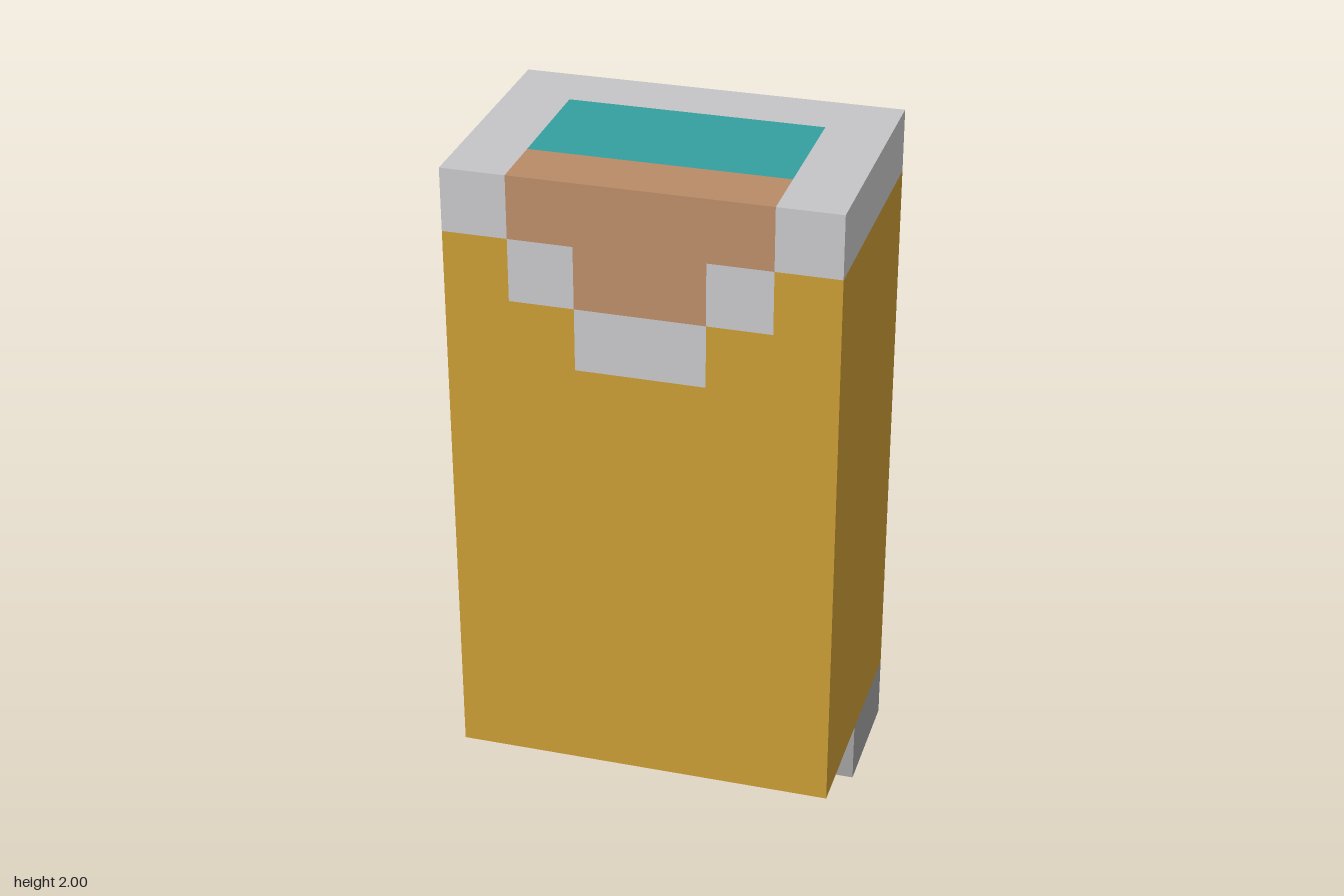
import * as THREE from 'three';

const U = 2 / 11; // one block unit: the model is 6 x 11 x 4 units

function material(name, color) {
  const m = new THREE.MeshStandardMaterial({ color });
  m.name = name;
  return m;
}

export function createModel() {
  const gold = material('gold cloth', 0xc99a35);
  const trim = material('light grey trim', 0xc6c6c8);
  const grey = material('grey base', 0xa0a0a2);
  const skin = material('tan skin', 0xb98c68);
  const teal = material('teal inset', 0x35a0a0);

  const model = new THREE.Group();
  model.name = 'blockTorso';

  // Flat outline in block units, turned onto one side of the block
  function panel(name, mat, points, place, hole) {
    const toVec = ([x, y]) => new THREE.Vector2(x * U, y * U);
    const shape = new THREE.Shape(points.map(toVec));
    if (hole) shape.holes.push(new THREE.Path(hole.map(toVec)));
    const mesh = new THREE.Mesh(place(new THREE.ShapeGeometry(shape)), mat);
    mesh.name = name;
    model.add(mesh);
  }
  const rect = (x0, y0, x1, y1) => [[x0, y0], [x1, y0], [x1, y1], [x0, y1]];
  const front = (g) => g.translate(0, 0, 2 * U);
  const back = (g) => g.rotateY(Math.PI).translate(0, 0, -2 * U);
  const left = (g) => g.rotateY(Math.PI / 2).translate(3 * U, 0, 0);
  const right = (g) => g.rotateY(-Math.PI / 2).translate(-3 * U, 0, 0);
  const top = (g) => g.rotateX(-Math.PI / 2).translate(0, 11 * U, 0);
  const under = (g) => g.rotateX(Math.PI / 2).translate(0, U, 0);

  // Front: robe with a stepped neckline, collar trim and bare chest
  panel('robeFront', gold, [[-3, 1], [3, 1], [3, 10], [2, 10], [2, 9], [1, 9], [1, 8],
    [-1, 8], [-1, 9], [-2, 9], [-2, 10], [-3, 10]], front);
  panel('chest', skin, [[-1, 9], [1, 9], [1, 10], [2, 10], [2, 11], [-2, 11], [-2, 10], [-1, 10]], front);
  panel('collarBottom', trim, rect(-1, 8, 1, 9), front);
  for (const [side, s] of [['Left', 1], ['Right', -1]]) {
    panel('collarStep' + side, trim, rect(1.5 * s - 0.5, 9, 1.5 * s + 0.5, 10), front);
    panel('collarCorner' + side, trim, rect(2.5 * s - 0.5, 10, 2.5 * s + 0.5, 11), front);
  }

  // Back and sides: robe with a trim band at the top
  for (const [name, half, place] of [['Back', 3, back], ['Left', 2, left], ['Right', 2, right]]) {
    panel('robe' + name, gold, rect(-half, 1, half, 10), place);
    panel('band' + name, trim, rect(-half, 10, half, 11), place);
  }

  // Top: U-shaped trim around the inset and the neck opening
  panel('topTrim', trim, [[-3, -2], [-2, -2], [-2, 1], [2, 1], [2, -2], [3, -2], [3, 2], [-3, 2]], top);
  panel('topInset', teal, rect(-2, -1, 2, 1), top);
  panel('topNeck', skin, rect(-2, -2, 2, -1), top);

  // Underside of the robe
  panel('robeUnderside', gold, rect(-3, -2, 3, 2), under);

  // Base bar under the rear half
  const bar = new THREE.Mesh(new THREE.BoxGeometry(6 * U, U, 2 * U), grey);
  bar.position.set(0, U / 2, -U);
  bar.name = 'baseBar';
  model.add(bar);

  return model;
}
